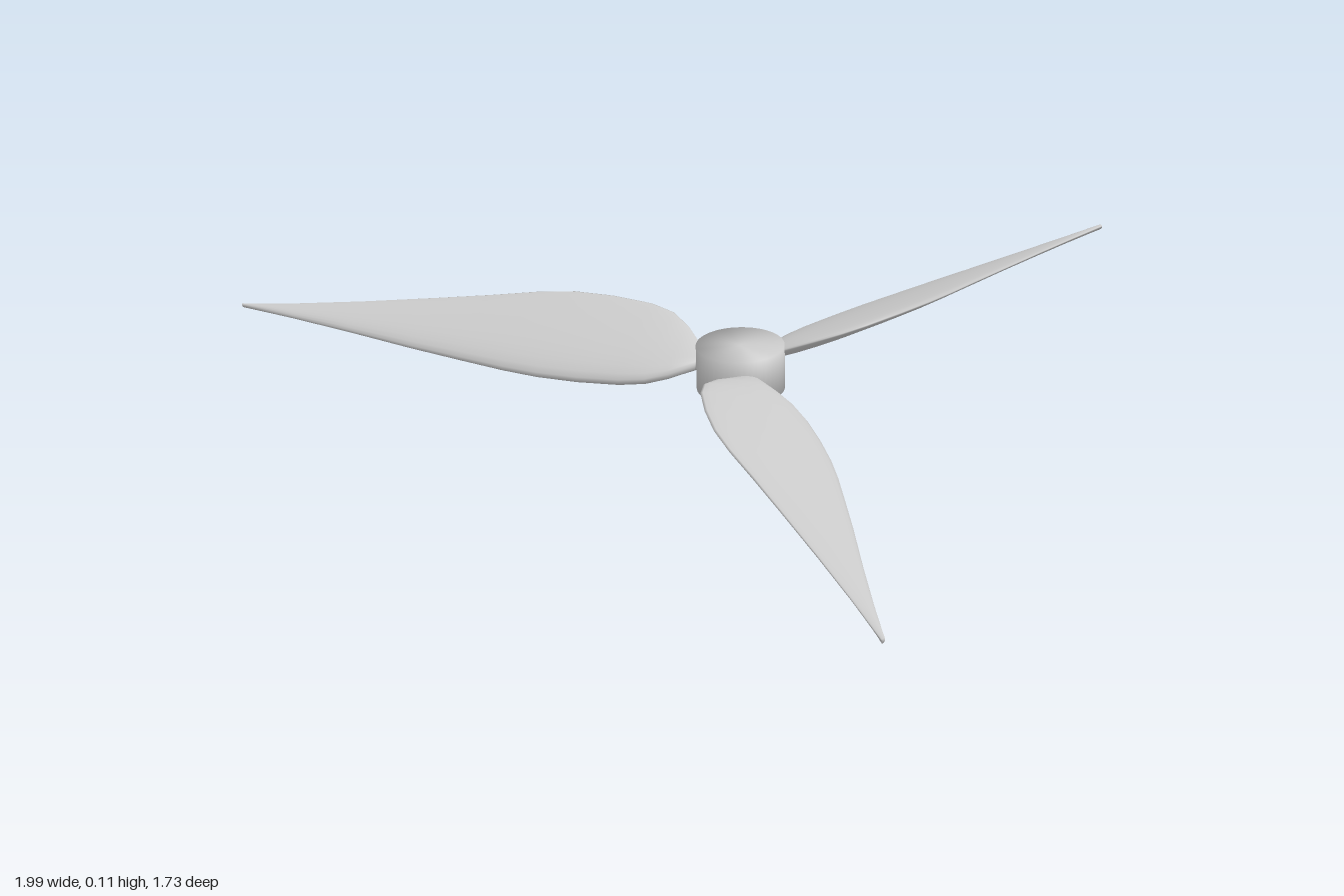
import * as THREE from 'three';
import { mergeVertices } from 'three/addons/utils/BufferGeometryUtils.js';

const HUB_Z = 0.285;
const MID_Y = 0.052;
const PITCH = 0.41;
const SIDES = 24;

// Blade stations: distance from hub axis, low edge x, high edge x, thickness
const STATIONS = [
  [0.092, -0.025, 0.03, 0.03],
  [0.14, -0.055, 0.08, 0.042],
  [0.185, -0.075, 0.113, 0.047],
  [0.24, -0.086, 0.13, 0.05],
  [0.33, -0.092, 0.139, 0.05],
  [0.42, -0.092, 0.139, 0.048],
  [0.5, -0.086, 0.127, 0.044],
  [0.6, -0.074, 0.104, 0.039],
  [0.72, -0.059, 0.079, 0.032],
  [0.88, -0.036, 0.047, 0.024],
  [1.02, -0.018, 0.022, 0.017],
  [1.148, -0.003, 0.003, 0.012],
];

// Pitched teardrop sections lofted along -z, blunt on the low edge
function bladeGeometry() {
  const pos = [], index = [];
  const s = Math.sin(PITCH), c = Math.cos(PITCH);
  for (const [r, x0, x1, t] of STATIONS) {
    for (let j = 0; j < SIDES; j++) {
      const a = (j / SIDES) * Math.PI * 2;
      const x = x0 + (x1 - x0) * (1 - Math.cos(a)) / 2;
      const h = (t / 2) * Math.sin(a) * (0.85 + 0.35 * Math.cos(a));
      pos.push(x - h * s, MID_Y + x * s / c + h * c, -r);
    }
  }
  const last = STATIONS.length - 1;
  for (let i = 0; i < last; i++) {
    for (let j = 0; j < SIDES; j++) {
      const k = (j + 1) % SIDES;
      const a = i * SIDES + j, b = i * SIDES + k;
      index.push(a, b, a + SIDES, b, b + SIDES, a + SIDES);
    }
  }
  // Close the root and the tip
  const root = pos.length / 3, tip = root + 1;
  pos.push(0, MID_Y, -STATIONS[0][0], 0, MID_Y, -STATIONS[last][0]);
  for (let j = 0; j < SIDES; j++) {
    const k = (j + 1) % SIDES;
    index.push(root, k, j, tip, last * SIDES + j, last * SIDES + k);
  }
  const g = new THREE.BufferGeometry();
  g.setAttribute('position', new THREE.Float32BufferAttribute(pos, 3));
  g.setIndex(index);
  g.computeVertexNormals();
  return g;
}

// Short cylinder whose normals blend across the rims
function hubGeometry() {
  const g = new THREE.CylinderGeometry(0.092, 0.092, 0.096, 48);
  g.deleteAttribute('uv');
  g.deleteAttribute('normal');
  const merged = mergeVertices(g);
  merged.computeVertexNormals();
  return merged;
}

export function createModel() {
  const model = new THREE.Group();
  model.name = 'propeller';
  const material = new THREE.MeshStandardMaterial({ color: 0xcccccc });

  const hub = new THREE.Mesh(hubGeometry(), material);
  hub.name = 'hub';
  hub.position.set(0, 0.048, HUB_Z);
  model.add(hub);

  // Three equal blades around the hub
  const geometry = bladeGeometry();
  ['backBlade', 'rightBlade', 'leftBlade'].forEach((name, i) => {
    const blade = new THREE.Mesh(geometry, material);
    blade.name = name;
    blade.position.z = HUB_Z;
    blade.rotation.y = (i * Math.PI * 2) / 3;
    model.add(blade);
  });
  return model;
}
